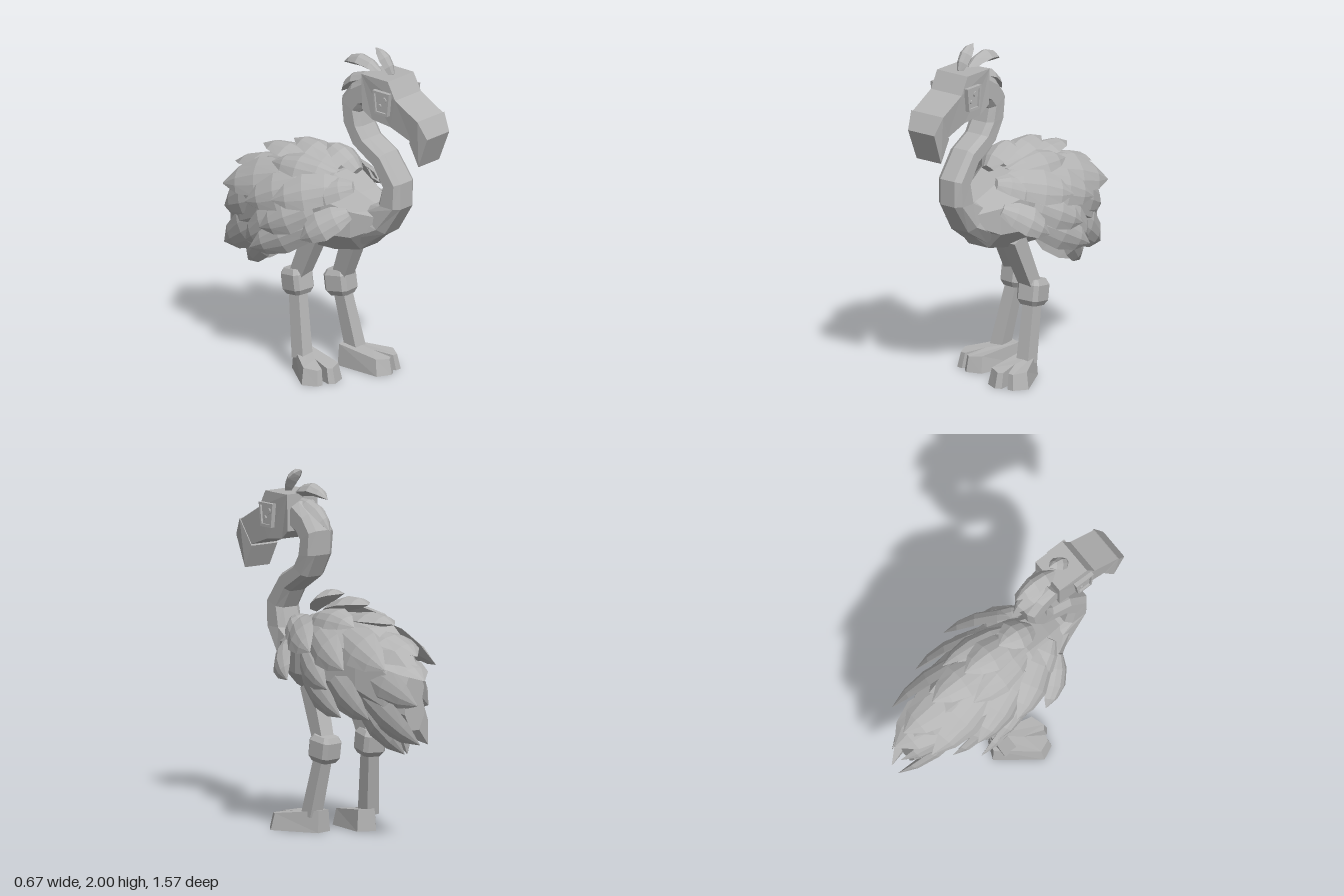
import * as THREE from 'three';

const V = (x, y, z) => new THREE.Vector3(x, y, z);
const grey = new THREE.MeshStandardMaterial({ color: 0xb4b4b4, flatShading: true });
grey.name = 'plain grey';

function add(parent, name, geometry) {
  const mesh = new THREE.Mesh(geometry, grey);
  mesh.name = name;
  parent.add(mesh);
  return mesh;
}

// Joins rings of points into a closed, faceted solid with outward faces
function loft(rings) {
  const tris = [];
  const n = rings[0].length;
  for (let i = 0; i < rings.length - 1; i++) {
    for (let j = 0; j < n; j++) {
      const k = (j + 1) % n;
      const a = rings[i][j], b = rings[i][k], c = rings[i + 1][k], d = rings[i + 1][j];
      tris.push([a, b, c], [a, c, d]);
    }
  }
  const first = rings[0], last = rings[rings.length - 1];
  for (let j = 1; j < n - 1; j++) {
    tris.push([first[0], first[j + 1], first[j]], [last[0], last[j], last[j + 1]]);
  }
  const origin = first[0];
  let volume = 0;
  for (const [a, b, c] of tris) {
    volume += a.clone().sub(origin).dot(b.clone().sub(origin).cross(c.clone().sub(origin)));
  }
  const points = tris.flatMap(([a, b, c]) => (volume < 0 ? [a, c, b] : [a, b, c]));
  const geo = new THREE.BufferGeometry().setFromPoints(points);
  geo.computeVertexNormals();
  return geo;
}

// Chamfered ring between a back and a front point [z, y] of the side profile
function ring(back, front, halfWidth, corner) {
  const k = 1 - corner;
  return [[1, k], [k, 1], [-k, 1], [-1, k], [-1, -k], [-k, -1], [k, -1], [1, -k]].map(([u, v]) => {
    const t = 0.5 + 0.5 * v;
    return V(u * halfWidth, THREE.MathUtils.lerp(back[1], front[1], t), THREE.MathUtils.lerp(back[0], front[0], t));
  });
}

// Ridged leaf from root to tip, bowed towards its outer side
function feather(root, tip, width, outward, bow = 0.03, thick = 0.035) {
  const along = tip.clone().sub(root).normalize();
  const out = outward.clone().addScaledVector(along, -outward.dot(along)).normalize();
  const side = along.clone().cross(out);
  const section = [[-1, 0], [-0.5, 0.7], [0, 1], [0.5, 0.7], [1, 0], [0, -0.8]];
  const stations = [[0, 0.45], [0.25, 0.85], [0.55, 1], [0.8, 0.68], [1, 0.03]];
  return loft(stations.map(([t, w]) => section.map(([u, v]) =>
    root.clone().lerp(tip, t)
      .addScaledVector(out, bow * 4 * t * (1 - t) + v * thick * (0.2 + 0.8 * w) * (t === 1 ? 0.2 : 1))
      .addScaledVector(side, u * width * w))));
}

// Side profile in [z, y] extruded across x, narrowing below the cheek
function slab(profile, half) {
  const shape = new THREE.Shape(profile.map(([z, y]) => new THREE.Vector2(-z, y)));
  const geo = new THREE.ExtrudeGeometry(shape, { depth: 2 * half, bevelEnabled: false });
  geo.translate(0, 0, -half).rotateY(Math.PI / 2);
  const p = geo.attributes.position;
  for (let i = 0; i < p.count; i++) {
    const y = p.getY(i);
    const narrow = 0.18 * THREE.MathUtils.clamp((1.68 - y) / 0.09, 0, 1) + 0.3 * Math.max(0, 1.585 - y);
    p.setX(i, p.getX(i) * (1 - narrow));
  }
  geo.computeVertexNormals();
  return geo;
}

// Square bar between two points
function bar(a, b, ra, rb) {
  const geo = new THREE.CylinderGeometry(rb * Math.SQRT2, ra * Math.SQRT2, a.distanceTo(b), 4);
  geo.rotateY(Math.PI / 4);
  const dir = b.clone().sub(a).normalize();
  geo.applyQuaternion(new THREE.Quaternion().setFromUnitVectors(V(0, 1, 0), dir));
  return geo.translate(...a.clone().add(b).multiplyScalar(0.5).toArray());
}

function addLeg(parent, name, hip, knee, ankle, turn) {
  const leg = new THREE.Group();
  leg.name = name;
  parent.add(leg);
  add(leg, 'thigh', bar(knee, hip, 0.042, 0.052));
  add(leg, 'shin', bar(ankle, knee, 0.042, 0.036));
  // Chamfered knee block
  const block = [[-0.075, 0.053], [-0.045, 0.07], [0.045, 0.07], [0.075, 0.053]].map(([y, r]) =>
    [[1, 0.7], [0.7, 1], [-0.7, 1], [-1, 0.7], [-1, -0.7], [-0.7, -1], [0.7, -1], [1, -0.7]]
      .map(([x, z]) => V(x * r, y, z * r * 1.1)));
  const joint = add(leg, 'knee', loft(block));
  joint.position.copy(knee);
  joint.rotation.set(-0.15, turn * 0.4, 0);
  // Two-toed wedge foot, lower at the toes
  const outline = [[-0.055, 0.07], [0.055, 0.07], [0.125, -0.21], [0.055, -0.27], [0.018, -0.26],
    [0, -0.13], [-0.018, -0.26], [-0.055, -0.27], [-0.125, -0.21]];
  const geo = new THREE.ExtrudeGeometry(new THREE.Shape(outline.map(([x, y]) => new THREE.Vector2(x, y))),
    { depth: 0.125, bevelEnabled: false });
  geo.rotateX(-Math.PI / 2);
  const p = geo.attributes.position;
  for (let i = 0; i < p.count; i++) {
    if (p.getY(i) > 0.1) {
      p.setXYZ(i, p.getX(i) * 0.86, 0.125 - 0.14 * Math.max(0, p.getZ(i)), p.getZ(i) * 0.93);
    }
  }
  geo.computeVertexNormals();
  const foot = add(leg, 'foot', geo);
  foot.position.set(ankle.x - turn * 0.08, 0, ankle.z);
  foot.rotation.y = turn;
}

export function createModel() {
  const bird = new THREE.Group();
  bird.name = 'wadingBird';

  // Body and tail core: [z, bottom, top, half width]
  add(bird, 'body', loft([
    [0.42, 0.93, 1.06, 0.08], [0.27, 0.8, 1.14, 0.16], [0.1, 0.77, 1.22, 0.22], [-0.18, 0.76, 1.24, 0.23],
    [-0.4, 0.74, 1.2, 0.19], [-0.58, 0.66, 1.1, 0.13], [-0.7, 0.65, 0.98, 0.07],
  ].map(([z, b, t, w]) => ring([z, b], [z, t], w, 0.55))));

  // S-shaped neck: back and front profile points, half width
  add(bird, 'neck', loft([
    [[0.28, 1.83], [0.37, 1.68], 0.088], [[0.19, 1.77], [0.28, 1.65], 0.088], [[0.12, 1.68], [0.245, 1.61], 0.088],
    [[0.13, 1.54], [0.265, 1.53], 0.086], [[0.2, 1.41], [0.31, 1.47], 0.083], [[0.36, 1.31], [0.43, 1.405], 0.083],
    [[0.42, 1.21], [0.55, 1.25], 0.083], [[0.39, 1.1], [0.55, 1.1], 0.085], [[0.285, 1.07], [0.44, 0.93], 0.1],
    [[0.17, 1.08], [0.3, 0.84], 0.14],
  ].map(([b, f, w]) => ring(b, f, w, 0.4))));

  // Head and hooked beak
  add(bird, 'head', slab([[0.31, 1.66], [0.375, 1.61], [0.51, 1.595], [0.665, 1.54], [0.735, 1.675],
    [0.56, 1.77], [0.505, 1.87], [0.36, 1.87], [0.31, 1.87]], 0.11));
  add(bird, 'beakTip', slab([[0.65, 1.535], [0.715, 1.405], [0.785, 1.585], [0.73, 1.685]], 0.115));

  // Eyes: tapered rim, sunken plate and small raised glints
  for (const s of [1, -1]) {
    const eye = new THREE.Group();
    eye.name = s > 0 ? 'leftEye' : 'rightEye';
    eye.position.set(s * 0.108, 1.737, 0.473);
    eye.rotation.y = s * Math.PI / 2;
    bird.add(eye);
    const trapezoid = k => [[-0.047, -0.068], [0.047, -0.068], [0.062, 0.068], [-0.062, 0.068]]
      .map(([x, y]) => new THREE.Vector2(x * k, y * k));
    const rim = new THREE.Shape(trapezoid(1));
    rim.holes.push(new THREE.Path(trapezoid(0.78).reverse()));
    add(eye, 'eyeRim', new THREE.ExtrudeGeometry(rim, { depth: 0.026, bevelEnabled: false }));
    add(eye, 'eyePlate', new THREE.ExtrudeGeometry(new THREE.Shape(trapezoid(0.8)), { depth: 0.014, bevelEnabled: false }));
    for (const [x, y, r] of [[0.018, 0.022, 0.017], [-0.015, -0.018, 0.012]]) {
      add(eye, 'eyeGlint', new THREE.CylinderGeometry(r, r, 0.008, 8).rotateX(Math.PI / 2)).position.set(x, y, 0.018);
    }
  }

  // Crest on the head
  const crest = [
    [V(0, 1.86, 0.44), V(0, 2, 0.32), 0.045, V(0, 1, 0.6), 0.014],
    [V(0, 1.85, 0.36), V(0, 1.86, 0.085), 0.055, V(0, 1, 0), 0.042],
    [V(0, 1.82, 0.34), V(0, 1.68, 0.065), 0.055, V(0, 1, -0.6), 0.035],
  ];
  crest.forEach(([r, t, w, n, b]) => add(bird, 'crestFeather', feather(r, t, w, n, b, 0.042)));

  // Back and tail feathers on the centre line
  const centre = [
    [V(0, 1.23, 0.19), V(0, 1.34, -0.04), 0.095], [V(0, 1.23, 0.08), V(0, 1.31, -0.285), 0.105],
    [V(0, 1.19, -0.08), V(0, 1.225, -0.515), 0.11], [V(0, 1.15, -0.25), V(0, 1.07, -0.72), 0.13],
    [V(0, 1.04, -0.3), V(0, 0.94, -0.785), 0.15],
  ];
  centre.forEach(([r, t, w]) => add(bird, 'backFeather', feather(r, t, w, V(0, 1, -0.2), 0.02, 0.045)));

  // Wing and tail feathers, mirrored
  const sides = [
    [[0.11, 1.18, 0.25], [0.22, 1.07, 0.0], 0.085], [[0.12, 1.17, 0.2], [0.33, 1.06, -0.17], 0.11],
    [[0.16, 1.04, 0.26], [0.325, 0.875, 0.04], 0.09], [[0.17, 0.96, 0.1], [0.275, 0.71, -0.38], 0.1],
    [[0.17, 1.05, 0.08], [0.3, 0.86, -0.285], 0.1], [[0.15, 1.16, 0.02], [0.28, 0.98, -0.41], 0.11],
    [[0.1, 1.17, -0.12], [0.18, 1.0, -0.66], 0.12], [[0.08, 1.2, 0.1], [0.14, 1.2, -0.33], 0.09],
    [[0.17, 0.96, -0.12], [0.17, 0.7, -0.5], 0.11], [[0.14, 1.0, -0.3], [0.04, 0.8, -0.77], 0.12],
    [[0.12, 0.9, -0.3], [0.03, 0.58, -0.78], 0.11], [[0.11, 0.86, -0.3], [0.01, 0.505, -0.62], 0.1],
  ];
  for (const s of [1, -1]) {
    for (const [r, t, w] of sides) {
      const out = V(s * (r[0] + t[0]), Math.max(-0.05, (r[1] + t[1]) / 2 - 0.9), -0.05);
      add(bird, s > 0 ? 'leftFeather' : 'rightFeather',
        feather(V(s * r[0], r[1], r[2]), V(s * t[0], t[1], t[2]), w, out));
    }
  }

  // Legs, in mid step
  addLeg(bird, 'leftLeg', V(0.1, 0.82, 0.09), V(0.13, 0.48, -0.055), V(0.155, 0.09, 0.035), 0.25);
  addLeg(bird, 'rightLeg', V(-0.09, 0.82, -0.05), V(-0.09, 0.515, -0.185), V(-0.145, 0.09, -0.1), -0.42);
  return bird;
}
